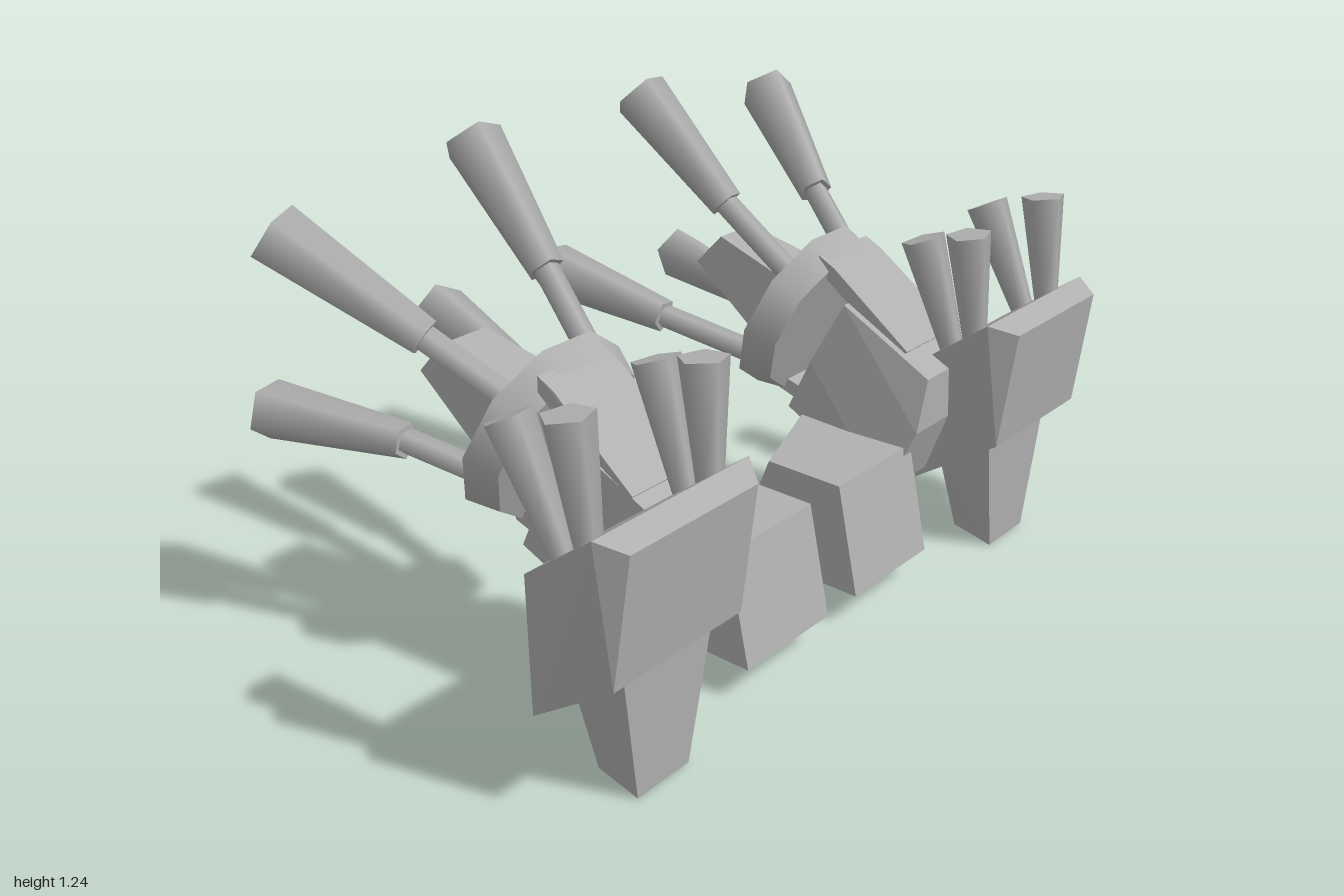
import * as THREE from 'three';
import { ConvexGeometry } from 'three/addons/geometries/ConvexGeometry.js';

const V = (x, y, z) => new THREE.Vector3(x, y, z);

export function createModel() {
  const model = new THREE.Group();
  model.name = 'pairedPods';
  const gray = new THREE.MeshStandardMaterial({ color: 0xb0b0b0 });
  gray.name = 'plain gray';

  const add = (parent, name, geometry) => {
    const mesh = new THREE.Mesh(geometry, gray);
    mesh.name = name;
    parent.add(mesh);
    return mesh;
  };

  for (const side of [1, -1]) {
    const pod = new THREE.Group();
    pod.name = side > 0 ? 'frontPod' : 'backPod';
    model.add(pod);

    // Faceted block: each profile corner is [x, y, inner z, outer z]
    const block = (name, corners) => add(pod, name, new ConvexGeometry(
      corners.flatMap(([x, y, a, b]) => [V(x, y, a * side), V(x, y, b * side)])));

    // Tapered rod between two points
    const rod = (name, from, to, r0, r1, sides = 5) => {
      const a = V(from[0], from[1], from[2] * side);
      const b = V(to[0], to[1], to[2] * side);
      const dir = b.clone().sub(a);
      const mesh = add(pod, name, new THREE.CylinderGeometry(r1, r0, dir.length(), sides));
      mesh.position.copy(a).add(b).multiplyScalar(0.5);
      mesh.quaternion.setFromUnitVectors(V(0, 1, 0), dir.normalize());
    };

    // Inner base block, its -x side skewed
    const base = [[0.15, 0.03, 0.085, 0.545], [0.26, 0.14, 0.375, 0.48]];
    add(pod, 'baseBlock', new ConvexGeometry(base.flatMap(([xIn, xOut, y, xEnd]) => [
      V(xIn, y, 0.06 * side), V(xOut, y, 0.38 * side),
      V(xEnd, y, 0.06 * side), V(xEnd, y, 0.38 * side)])));

    // Foot under the shield
    block('foot', [[0.475, 0.025, 0.65, 0.82], [0.59, 0, 0.65, 0.82],
      [0.6, 0.36, 0.58, 0.875], [0.43, 0.33, 0.58, 0.875]]);

    // Large shield block
    block('shield', [[0.41, 0.55, 0.5, 0.96], [0.62, 0.71, 0.49, 0.98],
      [0.685, 0.685, 0.54, 0.94], [0.645, 0.36, 0.54, 0.95], [0.41, 0.2, 0.53, 0.95]]);

    // Core between shield and disc
    block('core', [[0.24, 0.7, 0.4, 0.66], [0.165, 0.53, 0.36, 0.66],
      [0.105, 0.385, 0.35, 0.67], [0.44, 0.24, 0.32, 0.66],
      [0.51, 0.42, 0.36, 0.65], [0.51, 0.56, 0.4, 0.64]]);

    // Struts holding the disc
    block('upperStrut', [[0.14, 0.81, 0.42, 0.64], [0.19, 0.785, 0.42, 0.64],
      [0.43, 0.61, 0.42, 0.65], [0.4, 0.58, 0.42, 0.65], [0.14, 0.77, 0.42, 0.64]]);
    block('lowerStrut', [[0.01, 0.43, 0.43, 0.6], [0.01, 0.39, 0.43, 0.6],
      [0.24, 0.32, 0.43, 0.6], [0.26, 0.36, 0.43, 0.6]]);

    // Tilted disc
    rod('disc', [0.1025, 0.586, 0.51], [0.0215, 0.6165, 0.51], 0.225, 0.257, 10);

    // Central wedge behind the disc
    block('wedge', [[-0.225, 0.775, 0.455, 0.595], [-0.315, 0.68, 0.46, 0.59],
      [-0.04, 0.51, 0.42, 0.62], [0.07, 0.7, 0.42, 0.62]]);

    // Long nozzles: root on the disc, joint, tip
    const nozzles = [
      [[-0.01, 0.515, 0.34], [-0.28, 0.575, 0.275], [-0.665, 0.645, 0.22]],
      [[0.09, 0.735, 0.39], [-0.12, 0.92, 0.345], [-0.4, 1.185, 0.31]],
      [[0, 0.475, 0.6], [-0.285, 0.53, 0.675], [-0.67, 0.54, 0.79]],
      [[0.1, 0.72, 0.65], [-0.11, 0.865, 0.745], [-0.42, 1.085, 0.905]],
    ];
    for (const [root, joint, tip] of nozzles) {
      rod('nozzleArm', root, joint, 0.034, 0.034);
      rod('nozzle', joint, tip, 0.048, 0.08);
    }

    // Short pegs rising from the shield
    const pegs = [
      [[0.5, 0.57, 0.92], [0.345, 0.875, 0.93]],
      [[0.56, 0.61, 0.92], [0.515, 0.93, 0.93]],
      [[0.5, 0.57, 0.545], [0.39, 0.885, 0.53]],
      [[0.56, 0.61, 0.545], [0.525, 0.925, 0.53]],
    ];
    for (const [root, tip] of pegs) rod('peg', root, tip, 0.03, 0.06);
  }
  return model;
}
